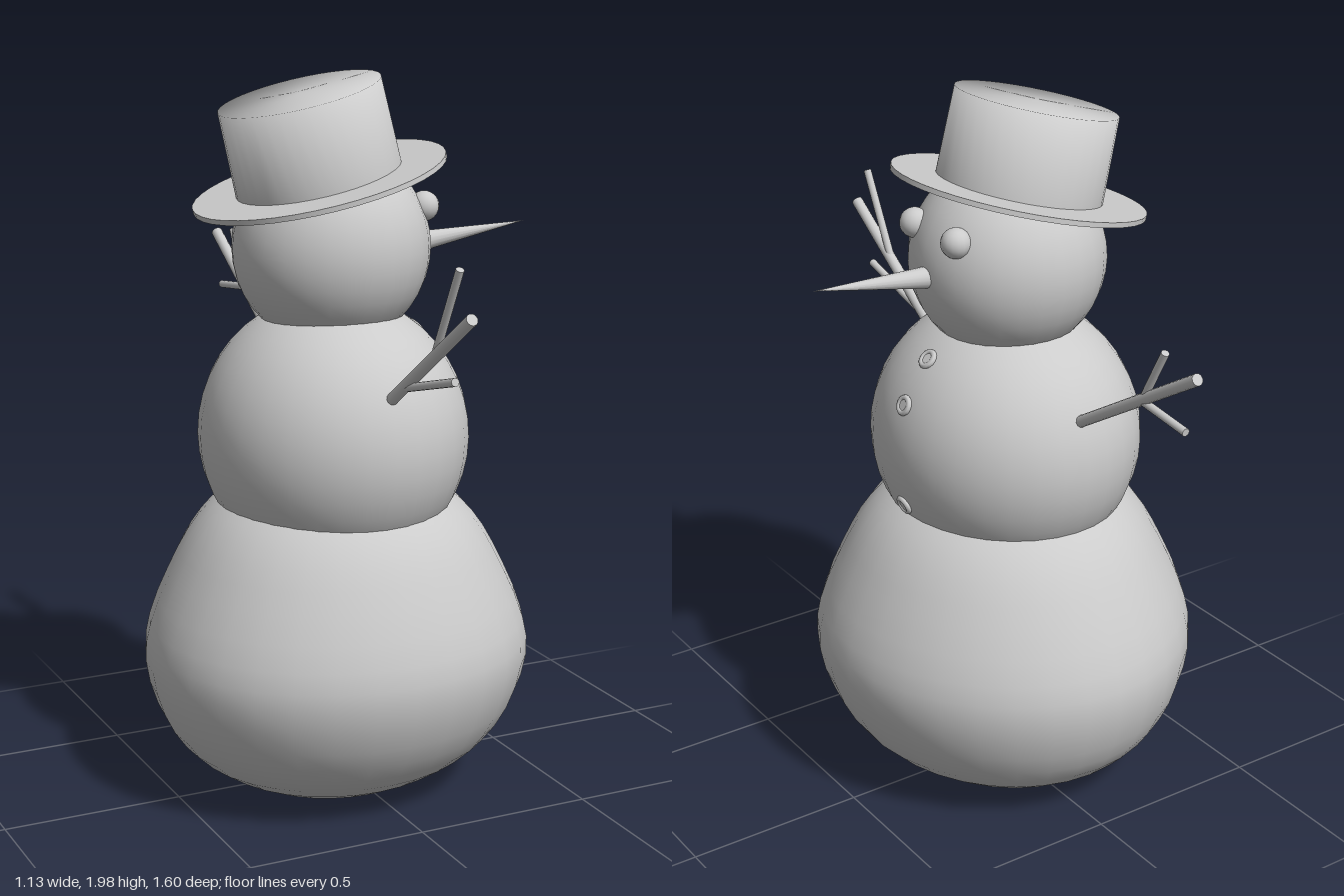
import * as THREE from 'three';
import { mergeVertices } from 'three/addons/utils/BufferGeometryUtils.js';

const material = new THREE.MeshStandardMaterial({ color: 0xcccccc, roughness: 0.9 });
const V = (x, y, z) => new THREE.Vector3(x, y, z);

function add(parent, name, geometry, x = 0, y = 0, z = 0) {
  const mesh = new THREE.Mesh(geometry, material);
  mesh.name = name;
  mesh.position.set(x, y, z);
  parent.add(mesh);
  return mesh;
}

// Tapered round rod running from one point to another
function rod(parent, name, from, to, r0, r1, sides = 12) {
  const dir = to.clone().sub(from);
  const mid = from.clone().add(to).multiplyScalar(0.5);
  const mesh = add(parent, name, new THREE.CylinderGeometry(r1, r0, dir.length(), sides), mid.x, mid.y, mid.z);
  mesh.quaternion.setFromUnitVectors(V(0, 1, 0), dir.normalize());
  return mesh;
}

// Big lower snowball: a settled, slightly egg-shaped lathe
function lowerBallGeometry() {
  const curve = new THREE.SplineCurve([
    [0, 0.03], [0.12, 0.03], [0.24, 0.035], [0.395, 0.125], [0.485, 0.24], [0.533, 0.39],
    [0.518, 0.52], [0.45, 0.68], [0.385, 0.79], [0.3, 0.87], [0.15, 0.95], [0, 0.97],
  ].map(([r, y]) => new THREE.Vector2(r, y)));
  const points = curve.getPoints(26);
  points.forEach((p) => { p.x = Math.max(p.x, 0); });
  let g = new THREE.LatheGeometry(points, 32);
  const pos = g.attributes.position;
  for (let i = 0; i < pos.count; i++) {
    const y = pos.getY(i), z = pos.getZ(i);
    pos.setX(i, pos.getX(i) * (1 + 0.16 * z * (1 - 0.3 * y)));
    pos.setZ(i, z + 0.045 * (y - 0.3));
  }
  g.deleteAttribute('normal');
  g.deleteAttribute('uv');
  g = mergeVertices(g);
  g.computeVertexNormals();
  return g;
}

export function createModel() {
  const model = new THREE.Group();
  model.name = 'snowman';

  // Three stacked snowballs
  add(model, 'lowerBall', lowerBallGeometry(), -0.035, 0, 0);
  const belly = { c: V(-0.04, 1.03, 0.03), r: V(0.367, 0.38, 0.39) };
  add(model, 'middleBall', new THREE.SphereGeometry(1, 32, 22), ...belly.c.toArray()).scale.copy(belly.r);
  add(model, 'head', new THREE.SphereGeometry(1, 28, 20), -0.04, 1.54, 0.02).scale.set(0.27, 0.27, 0.262);

  // Face
  for (const z of [0.12, -0.077]) add(model, 'eye', new THREE.SphereGeometry(0.041, 16, 12), 0.188, 1.648, z);
  rod(model, 'nose', V(0.19, 1.53, 0.015), V(0.563, 1.57, 0.01), 0.032, 0, 16);

  // Rimmed buttons lying on the belly surface
  for (const y of [1.3, 1.185, 0.89]) {
    const dy = y - belly.c.y;
    const dx = belly.r.x * Math.sqrt(1 - (dy / belly.r.y) ** 2);
    const button = new THREE.Group();
    button.name = 'button';
    button.position.set(belly.c.x + dx, y, 0.018);
    button.quaternion.setFromUnitVectors(V(0, 0, 1), V(dx / belly.r.x ** 2, dy / belly.r.y ** 2, 0).normalize());
    add(button, 'buttonRim', new THREE.TorusGeometry(0.021, 0.008, 8, 20));
    add(button, 'buttonDisc', new THREE.CylinderGeometry(0.02, 0.02, 0.008, 20)).rotation.x = Math.PI / 2;
    model.add(button);
  }

  // Branch arms: main stick plus two twigs, each as [z, y] start and end
  const x = -0.037;
  const arms = {
    rightArm: [[[0.36, 1.18], [0.796, 1.476]], [[0.61, 1.35], [0.733, 1.587]], [[0.44, 1.235], [0.717, 1.307]]],
    leftArm: [[[-0.32, 1.178], [-0.79, 1.466]], [[-0.585, 1.345], [-0.664, 1.492]], [[-0.56, 1.335], [-0.754, 1.312]]],
  };
  for (const [name, sticks] of Object.entries(arms)) {
    const arm = new THREE.Group();
    arm.name = name;
    sticks.forEach(([a, b], i) => {
      const r = i ? 0.011 : 0.016;
      rod(arm, i ? 'twig' : 'branch', V(x, a[1], a[0]), V(x, b[1], b[0]), r, r);
    });
    model.add(arm);
  }

  // Tilted top hat
  const hat = new THREE.Group();
  hat.name = 'hat';
  hat.position.set(-0.074, 1.718, 0.017);
  hat.rotation.z = 0.24;
  add(hat, 'brim', new THREE.CylinderGeometry(0.346, 0.346, 0.014, 40));
  const crown = [[0.226, 0], [0.221, 0.24], [0, 0.24]].map(([r, y]) => new THREE.Vector2(r, y));
  add(hat, 'crown', new THREE.LatheGeometry(crown, 36));
  model.add(hat);

  return model;
}
